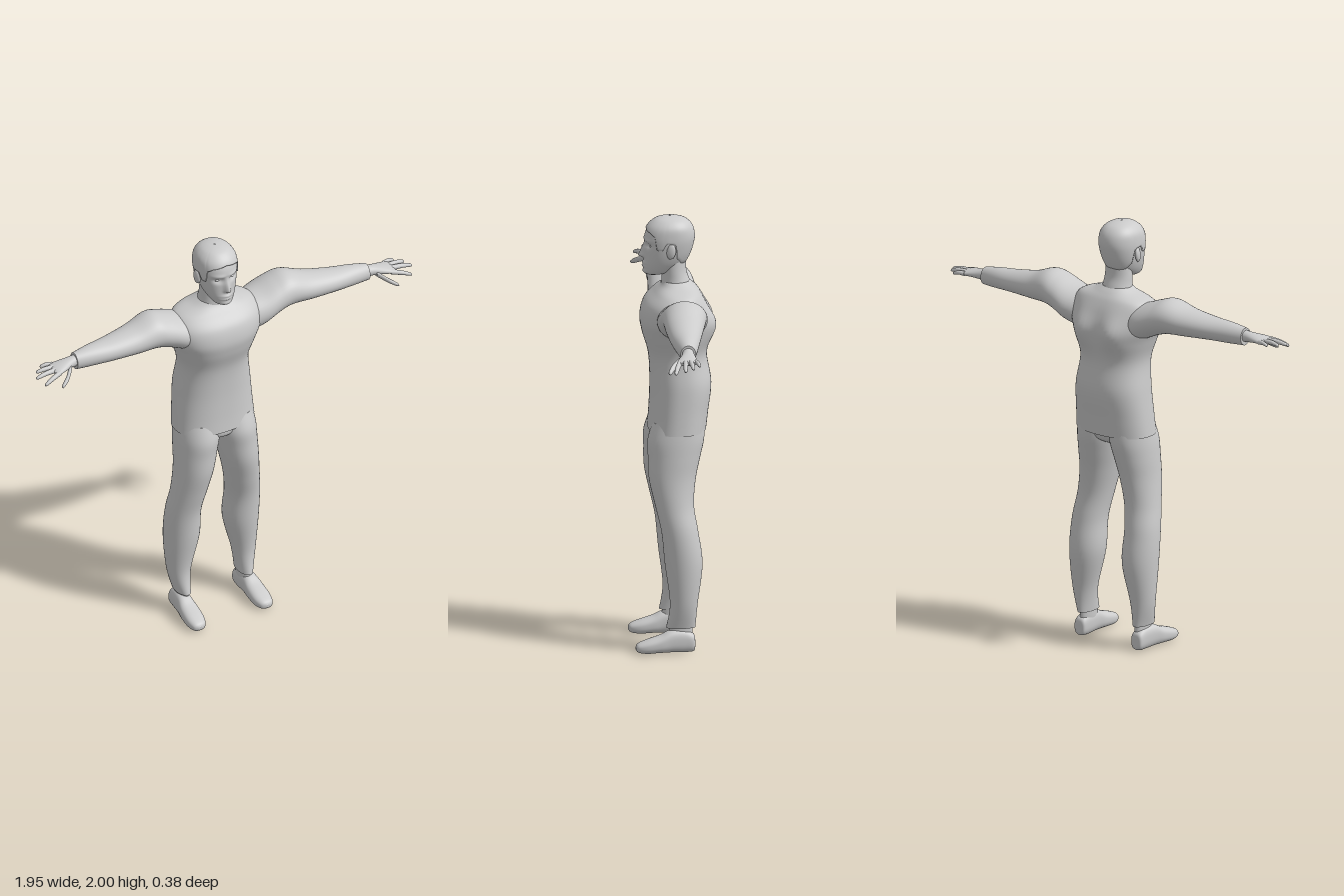
import * as THREE from 'three';

const CX = -0.027; // body centre line
const grey = () => new THREE.MeshStandardMaterial({ color: 0xcccccc, side: THREE.DoubleSide });
const bell = (v, mid, w) => Math.exp(-(((v - mid) / w) ** 2));

// Smooth interpolation through section rows, u in 0..1
function sample(secs, u) {
  const f = u * (secs.length - 1), i = Math.min(Math.floor(f), secs.length - 2), t = f - i;
  const at = k => secs[THREE.MathUtils.clamp(k, 0, secs.length - 1)];
  const [p, a, b, q] = [at(i - 1), at(i), at(i + 1), at(i + 2)];
  return a.map((v, c) => {
    const m0 = (b[c] - p[c]) / 2, m1 = (q[c] - v) / 2, d = b[c] - v;
    return v + t * (m0 + t * (3 * d - 2 * m0 - m1 + t * (m0 + m1 - 2 * d)));
  });
}

// Point on a rounded section [position, a0, a1, b0, b1]
function sectionPoint([t, a0, a1, b0, b1], angle, axis, power) {
  const bend = v => Math.sign(v) * Math.abs(v) ** (2 / power);
  const a = (a0 + a1) / 2 + (a1 - a0) / 2 * bend(Math.cos(angle));
  const b = (b0 + b1) / 2 + (b1 - b0) / 2 * bend(Math.sin(angle));
  if (axis === 'y') return new THREE.Vector3(a, t, b);
  if (axis === 'x') return new THREE.Vector3(t, a, b);
  return new THREE.Vector3(a, b, t);
}

// Joins rows of points into a closed tube facing outward
function skin(rows) {
  const n = rows[0].length, pts = rows.flat(), idx = [];
  for (let r = 0; r < rows.length - 1; r++) {
    for (let i = 0; i < n; i++) {
      const j = (i + 1) % n, a = r * n + i, b = r * n + j;
      idx.push(a, b, a + n, b, b + n, a + n);
    }
  }
  let volume = 0;
  const cross = new THREE.Vector3();
  for (let k = 0; k < idx.length; k += 3) {
    volume += pts[idx[k]].dot(cross.crossVectors(pts[idx[k + 1]], pts[idx[k + 2]]));
  }
  if (volume < 0) idx.reverse();
  const g = new THREE.BufferGeometry().setFromPoints(pts);
  g.setIndex(idx);
  g.computeVertexNormals();
  return g;
}

function loft(secs, axis, { sides = 40, steps = 6, power = 2, deform = () => {} } = {}) {
  const rows = [], count = (secs.length - 1) * steps;
  for (let r = 0; r <= count; r++) {
    const s = sample(secs, r / count);
    rows.push(Array.from({ length: sides }, (_, i) => {
      const p = sectionPoint(s, i / sides * Math.PI * 2, axis, power);
      deform(p);
      return p;
    }));
  }
  const copy = row => row.map(p => p.clone());
  const centre = row => {
    const c = row.reduce((s, p) => s.add(p), new THREE.Vector3()).divideScalar(row.length);
    return row.map(() => c.clone());
  };
  const first = rows[0], last = rows[count];
  return skin([centre(first), copy(first), ...rows, copy(last), centre(last)]);
}

function add(group, name, geometry) {
  const mesh = new THREE.Mesh(geometry, grey());
  mesh.name = name;
  group.add(mesh);
  return mesh;
}

// Head with modelled face, ears and a close hair shell
function buildHead() {
  const head = new THREE.Group();
  head.name = 'head';
  head.position.x = CX - 0.006;
  const secs = [[1.728, -.02, .02, .07, .115], [1.74, -.045, .045, .02, .135], [1.775, -.067, .067, -.035, .139],
    [1.82, -.082, .082, -.065, .136], [1.87, -.09, .09, -.082, .134], [1.91, -.091, .091, -.088, .134],
    [1.95, -.084, .084, -.078, .118], [1.978, -.06, .06, -.052, .088], [1.99, -.03, .03, -.015, .055],
    [1.993, -.003, .003, .015, .025]];
  const face = p => {
    if (p.z < 0.05) return;
    const x = Math.abs(p.x), y = p.y;
    const bridge = y > 1.818 ? Math.max(0, 1 - (y - 1.818) / 0.07) : bell(y, 1.818, 0.009);
    p.z += 0.028 * bridge * bell(x, 0, 0.014)
      - 0.014 * bell(x, 0.036, 0.02) * bell(y, 1.87, 0.013)
      + 0.006 * bell(x, 0.036, 0.03) * bell(y, 1.893, 0.009)
      + 0.008 * bell(x, 0, 0.026) * (bell(y, 1.785, 0.006) + bell(y, 1.77, 0.006))
      + 0.006 * bell(x, 0, 0.03) * bell(y, 1.744, 0.012);
  };
  add(head, 'face', loft(secs, 'y', { sides: 96, steps: 9, power: 2.15, deform: face }));

  // Hairline height by angle from the front: fringe, sideburn, ear, nape
  const line = [[0, 1.942], [.65, 1.93], [.95, 1.915], [1.05, 1.86], [1.3, 1.858], [1.42, 1.89], [1.75, 1.885],
    [1.95, 1.82], [2.3, 1.795], [Math.PI + .01, 1.785]];
  const hairline = a => {
    const k = Math.max(1, line.findIndex(q => q[0] > a)), [p, q] = [line[k - 1], line[k]];
    return THREE.MathUtils.mapLinear(a, p[0], q[0], p[1], q[1]);
  };
  const shell = (angle, v, grow) => {
    const off = Math.abs(Math.atan2(Math.cos(angle), Math.sin(angle)));
    const y = THREE.MathUtils.lerp(hairline(off), 1.993, v);
    let lo = 0, hi = 1;
    for (let i = 0; i < 22; i++) {
      const mid = (lo + hi) / 2;
      if (sample(secs, mid)[0] < y) lo = mid; else hi = mid;
    }
    const c = new THREE.Vector3(0, 1.88, 0.023);
    return sectionPoint(sample(secs, lo), angle, 'y', 2.15).sub(c).multiplyScalar(grow).add(c);
  };
  const rows = [];
  for (let r = -1; r <= 20; r++) {
    const v = Math.sin(Math.max(r, 0) / 20 * Math.PI / 2);
    rows.push(Array.from({ length: 96 }, (_, i) => shell(i / 96 * Math.PI * 2, v, r < 0 ? 0.97 : 1.055)));
  }
  add(head, 'hair', skin(rows));

  for (const s of [1, -1]) {
    const ear = add(head, 'ear', new THREE.SphereGeometry(1, 20, 14));
    ear.scale.set(0.011, 0.035, 0.021);
    ear.position.set(s * 0.092, 1.853, 0.022);
    ear.rotation.set(-0.15, s * -0.3, 0);
    const eye = add(head, 'eye', new THREE.SphereGeometry(1, 16, 10));
    eye.scale.set(0.014, 0.007, 0.009);
    eye.position.set(s * 0.036, 1.868, 0.108);
  }
  return head;
}

// Sleeve, palm and digits; the left arm droops a little lower
function buildArm(s) {
  const arm = new THREE.Group();
  arm.name = s > 0 ? 'leftArm' : 'rightArm';
  const place = p => {
    if (s > 0) p.y -= 0.08 * Math.max(0, p.x - 0.3);
    p.x *= s;
  };
  add(arm, 'sleeve', loft([[.1, 1.45, 1.63, -.09, .09], [.2, 1.48, 1.65, -.125, .1], [.28, 1.515, 1.68, -.12, .095],
    [.35, 1.535, 1.698, -.108, .09], [.45, 1.542, 1.67, -.085, .085], [.57, 1.55, 1.655, -.06, .077],
    [.68, 1.555, 1.65, -.038, .063], [.757, 1.56, 1.642, -.02, .05]], 'x', { deform: place }));
  add(arm, 'palm', loft([[.74, 1.575, 1.632, -.01, .042], [.78, 1.58, 1.628, -.012, .046], [.83, 1.585, 1.622, -.017, .066],
    [.865, 1.588, 1.616, -.019, .076], [.88, 1.594, 1.61, -.012, .066]], 'x', { sides: 24, deform: place }));
  // Each digit: root, knuckle and tip, then radius
  const digits = [['littleFinger', [.855, 1.602, -.01], [.885, 1.606, -.017], [.915, 1.6, -.022], .0095],
    ['ringFinger', [.86, 1.603, .014], [.91, 1.607, .012], [.953, 1.601, .01], .0105],
    ['middleFinger', [.86, 1.602, .037], [.92, 1.605, .043], [.973, 1.598, .048], .011],
    ['indexFinger', [.855, 1.6, .062], [.905, 1.592, .078], [.95, 1.578, .09], .011],
    ['thumb', [.79, 1.596, .04], [.83, 1.574, .085], [.872, 1.552, .11], .0125]];
  for (const [name, a, b, c, r] of digits) {
    const secs = [0, .25, .5, .75, .92, 1].map((t, i) => {
      const [x, y, z] = sample([a, b, c], t), w = r * [1.15, 1.1, 1, .85, .6, .05][i];
      return [x, y - w, y + w, z - w, z + w];
    });
    add(arm, name, loft(secs, 'x', { sides: 14, steps: 3, deform: place }));
  }
  return arm;
}

// Trouser leg, ankle and shoe
function buildLeg(s) {
  const leg = new THREE.Group();
  leg.name = s > 0 ? 'leftLeg' : 'rightLeg';
  const place = p => { p.x = CX + s * p.x; };
  add(leg, 'trouserLeg', loft([[.115, .127, .195, -.08, .053], [.23, .112, .222, -.09, .036], [.41, .07, .236, -.113, .058],
    [.56, .07, .234, -.094, .073], [.68, .053, .218, -.076, .1], [.8, .028, .205, -.086, .126],
    [.9, .007, .2, -.108, .13], [.98, -.008, .195, -.126, .13], [1.06, -.015, .185, -.13, .105]], 'y', { deform: place }));
  add(leg, 'ankle', loft([[.04, .135, .19, -.065, .05], [.09, .132, .187, -.067, .042], [.15, .132, .187, -.067, .035]],
    'y', { deform: place }));
  add(leg, 'shoe', loft([[-.078, .15, .18, .02, .06], [-.07, .135, .195, .004, .085], [-.03, .13, .2, 0, .105],
    [.03, .13, .207, .002, .105], [.08, .126, .215, .002, .082], [.14, .128, .216, 0, .062],
    [.18, .143, .205, .006, .046], [.192, .165, .185, .018, .032]], 'z', { power: 2.5, deform: place }));
  return leg;
}

export function createModel() {
  const model = new THREE.Group();
  model.name = 'figure';

  // Shirt with shoulder blades and a spine hollow
  const back = p => {
    if (p.z < 0) p.z -= 0.03 * bell(Math.abs(p.x - CX), 0.09, 0.06) * bell(p.y, 1.51, 0.08);
  };
  add(model, 'shirt', loft([[1.015, -.224, .17, -.142, .122], [1.1, -.217, .164, -.152, .115], [1.23, -.205, .155, -.166, .111],
    [1.36, -.193, .14, -.146, .118], [1.46, -.218, .167, -.158, .146], [1.53, -.243, .192, -.16, .156],
    [1.6, -.245, .192, -.14, .138], [1.65, -.215, .16, -.115, .092], [1.68, -.135, .08, -.09, .062],
    [1.7, -.098, .043, -.068, .05]], 'y', { sides: 64, power: 2.3, deform: back }));
  add(model, 'neck', loft([[1.65, -.115, .057, -.085, .06], [1.7, -.1, .04, -.07, .058], [1.75, -.096, .034, -.055, .056],
    [1.82, -.093, .03, -.055, .06]], 'y'));
  add(model, 'hips', loft([[.955, CX - .03, CX + .03, -.06, .06], [.985, CX - .12, CX + .12, -.112, .108],
    [1.05, CX - .18, CX + .18, -.13, .105]], 'y'));

  model.add(buildHead());
  for (const s of [1, -1]) model.add(buildArm(s), buildLeg(s));
  return model;
}
